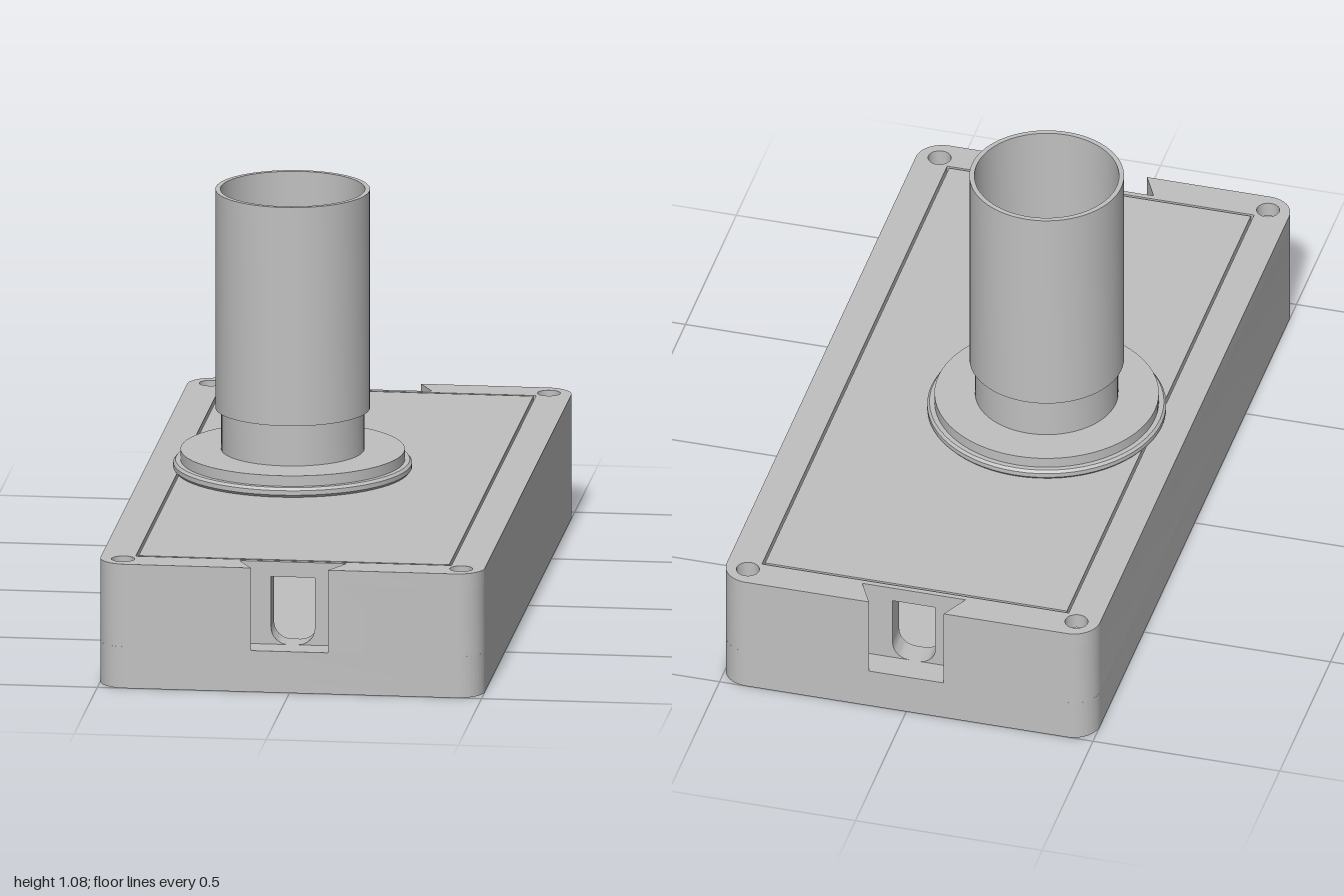
import * as THREE from 'three';
import { toCreasedNormals } from 'three/addons/utils/BufferGeometryUtils.js';

const grey = new THREE.MeshStandardMaterial({ color: 0xc0c0c0 });
grey.name = 'grey plastic';

const HX = 0.5, HZ = 1, R = 0.07;   // case half sizes and corner radius
const TOP = 0.33, LEDGE = 0.29, SILL = 0.11, FLOOR = 0.04;
const PORT = 0.057;                 // half width of the cable port
const TUBE = { x: -0.12, z: -0.06 };

function part(name, geometry) {
  const mesh = new THREE.Mesh(toCreasedNormals(geometry, 0.5), grey);
  mesh.name = name;
  return mesh;
}

// Extrude a plan shape (x, -z) upwards between two heights.
function slab(name, shape, y0, y1) {
  const g = new THREE.ExtrudeGeometry(shape, { depth: y1 - y0, bevelEnabled: false, curveSegments: 12 });
  g.rotateX(-Math.PI / 2).translate(0, y0, 0);
  return part(name, g);
}

function rectangle(hx, hz, target = new THREE.Shape()) {
  target.moveTo(-hx, -hz);
  target.lineTo(hx, -hz);
  target.lineTo(hx, hz);
  target.lineTo(-hx, hz);
  target.closePath();
  return target;
}

// Case outline, with or without a dovetail slot in each end.
function outline(slots) {
  const s = new THREE.Shape();
  s.moveTo(-HX, -HZ + R);
  s.absarc(-HX + R, -HZ + R, R, Math.PI, Math.PI * 1.5);
  if (slots) [[-0.1, -1], [-0.138, -0.925], [0.138, -0.925], [0.1, -1]].forEach(p => s.lineTo(...p));
  s.absarc(HX - R, -HZ + R, R, Math.PI * 1.5, Math.PI * 2);
  s.absarc(HX - R, HZ - R, R, 0, Math.PI / 2);
  if (slots) [[0.1, 1], [0.138, 0.925], [-0.138, 0.925], [-0.1, 1]].forEach(p => s.lineTo(...p));
  s.absarc(-HX + R, HZ - R, R, Math.PI / 2, Math.PI);
  s.closePath();
  return s;
}

// One side of the wall, split by the cable ports at both ends.
function halfWall(side) {
  const s = new THREE.Shape();
  const ix = 0.38, iz = 0.86;
  s.moveTo(side * PORT, -0.925);
  [[0.138, -0.925], [0.1, -1]].forEach(([x, y]) => s.lineTo(side * x, y));
  const corner = (cy, a0) => {
    for (let i = 0; i <= 12; i++) {
      const a = a0 + (i / 12) * Math.PI / 2;
      s.lineTo(side * (HX - R + R * Math.cos(a)), cy + R * Math.sin(a));
    }
  };
  corner(-HZ + R, -Math.PI / 2);
  corner(HZ - R, 0);
  [[0.1, 1], [0.138, 0.925], [PORT, 0.925], [PORT, iz], [ix, iz], [ix, -iz], [PORT, -iz]]
    .forEach(([x, y]) => s.lineTo(side * x, y));
  s.closePath();
  addScrewHoles(s, [side]);
  return s;
}

function addScrewHoles(shape, sides) {
  for (const x of sides) for (const z of [-1, 1]) {
    shape.holes.push(new THREE.Path().absarc(x * 0.44, z * 0.942, 0.03, 0, Math.PI * 2, true));
  }
}

export function createModel() {
  const model = new THREE.Group();
  model.name = 'tubeCase';

  // Hollow case: floor, low rim, slotted walls and the recess for the lid
  const body = new THREE.Group();
  body.name = 'case';
  body.add(slab('floor', outline(false), 0, FLOOR));
  const rim = outline(false);
  rim.holes.push(rectangle(0.38, 0.86, new THREE.Path()));
  body.add(slab('lowerWall', rim, FLOOR, SILL));
  for (const side of [-1, 1]) body.add(slab('sideWall', halfWall(side), SILL, LEDGE));
  const frame = outline(true);
  frame.holes.push(rectangle(0.411, 0.911, new THREE.Path()));
  addScrewHoles(frame, [-1, 1]);
  body.add(slab('topFrame', frame, LEDGE, TOP));

  // Rounded lower corners of the two cable ports
  const r = 0.045;
  for (const side of [-1, 1]) for (const end of [-1, 1]) {
    const s = new THREE.Shape();
    s.moveTo(side * PORT, SILL);
    s.lineTo(side * PORT, SILL + r);
    for (let i = 1; i <= 8; i++) {
      const a = (i / 8) * Math.PI / 2;
      s.lineTo(side * (PORT - r + r * Math.cos(a)), SILL + r - r * Math.sin(a));
    }
    s.closePath();
    const g = new THREE.ExtrudeGeometry(s, { depth: 0.065, bevelEnabled: false });
    g.translate(0, 0, end > 0 ? 0.86 : -0.925);
    body.add(part('portCorner', g));
  }
  model.add(body);

  // Flush lid with an opening below the tube
  const lid = rectangle(0.404, 0.904);
  lid.holes.push(new THREE.Path().absarc(TUBE.x, -TUBE.z, 0.13, 0, Math.PI * 2, true));
  model.add(slab('lid', lid, LEDGE, TOP));

  // Stepped flange and open tube, turned as one closed profile
  const profile = [
    [0.13, 0.33], [0.303, 0.33], [0.309, 0.337], [0.309, 0.349], [0.303, 0.356], [0.29, 0.356],
    [0.29, 0.384], [0.185, 0.384], [0.185, 0.494], [0.2, 0.494], [0.2, 1.076], [0.187, 1.076],
    [0.187, 0.494], [0.155, 0.494], [0.155, 0.384], [0.13, 0.384], [0.13, 0.33],
  ].map(p => new THREE.Vector2(...p));
  const tube = part('flangedTube', new THREE.LatheGeometry(profile, 64));
  tube.position.set(TUBE.x, 0, TUBE.z);
  model.add(tube);

  return model;
}
